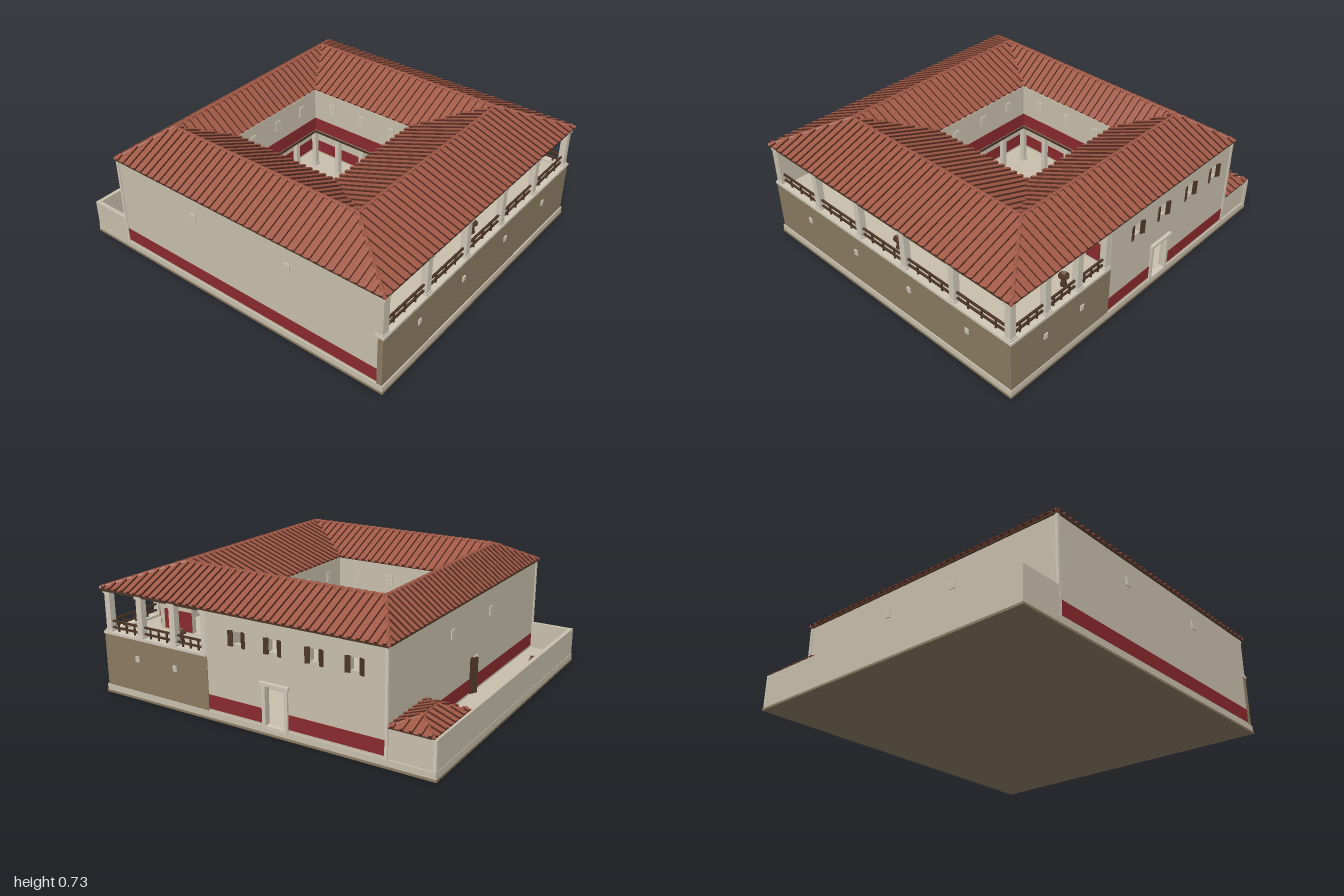
import * as THREE from 'three';
import { mergeGeometries } from 'three/addons/utils/BufferGeometryUtils.js';

const material = (name, color, side = THREE.FrontSide) => {
  const m = new THREE.MeshStandardMaterial({ color, side });
  m.name = name;
  return m;
};

export function createModel() {
  const cream = material('cream plaster', 0xc9bfad);
  const trim = material('pale trim', 0xd0c8b8);
  const tan = material('tan stone', 0x8b7b62);
  const red = material('red paint', 0x8a2a2d);
  const tile = material('roof tile', 0xa05845, THREE.DoubleSide);
  const tileDark = material('shaded tile', 0x5a2f25);
  const wood = material('dark wood', 0x4c3527);
  const water = material('water', 0x35707c);
  const clay = material('clay', 0x84634c, THREE.DoubleSide);

  const model = new THREE.Group();
  const mesh = (name, geo, mat, parent = model) => {
    const m = new THREE.Mesh(geo, mat);
    m.name = name;
    parent.add(m);
    return m;
  };
  // box from its minimum and maximum on each axis
  const box = (name, mat, x0, x1, y0, y1, z0, z1, parent) => {
    const g = new THREE.BoxGeometry(x1 - x0, y1 - y0, z1 - z0);
    g.translate((x0 + x1) / 2, (y0 + y1) / 2, (z0 + z1) / 2);
    return mesh(name, g, mat, parent);
  };
  const rect = (Type, x0, x1, y0, y1) => new Type([[x0, y0], [x1, y0], [x1, y1], [x0, y1]].map(p => new THREE.Vector2(...p)));
  const turned = (name, rot, parent = model) => {
    const g = new THREE.Group();
    g.name = name;
    g.rotation.y = rot;
    parent.add(g);
    return g;
  };
  // horizontal slab with the courtyard cut out
  const frame = (name, mat, x, z0, z1, y0, y1) => {
    const s = rect(THREE.Shape, -x, x, -z1, -z0);
    s.holes.push(rect(THREE.Path, -0.345, 0.345, -0.285, 0.415));
    const g = new THREE.ExtrudeGeometry(s, { depth: y1 - y0, bevelEnabled: false });
    g.rotateX(-Math.PI / 2).translate(0, y0, 0);
    mesh(name, g, mat);
  };
  // wall facing local +z with its face at dist; holes are [u0, u1, y0, y1]; the dado skips them
  const wall = (name, rot, u0, u1, y0, y1, dist, { holes = [], dado, mat = cream, slits = [], depth = 0.03 } = {}) => {
    const g = turned(name, rot);
    const s = rect(THREE.Shape, u0, u1, y0, y1);
    holes.forEach(h => s.holes.push(rect(THREE.Path, ...h)));
    const geo = new THREE.ExtrudeGeometry(s, { depth, bevelEnabled: false });
    mesh(name + 'Panel', geo.translate(0, 0, dist - depth), mat, g);
    if (dado) {
      let start = u0;
      const cuts = holes.filter(h => h[2] < dado[1] && h[3] > dado[0]).sort((a, b) => a[0] - b[0]);
      for (const c of [...cuts, [u1, u1]]) {
        box('redDado', red, start, c[0], ...dado, dist, dist + 0.002, g);
        start = c[1];
      }
    }
    for (const [u, y, w, h] of slits) {
      box('slitFrame', trim, u - w / 2, u + w / 2, y - h / 2, y + h / 2, dist, dist + 0.006, g);
      box('slitPane', cream, u - w / 4, u + w / 4, y - h / 3, y + h / 3, dist + 0.006, dist + 0.007, g);
    }
    return g;
  };
  const Q = Math.PI / 2;

  // ground, plinth and yard floor
  box('groundSlab', tan, -0.9, 0.9, 0, 0.012, -1, 1);
  box('plinth', cream, -0.897, 0.897, 0.012, 0.045, -0.997, 0.997);

  // outer walls
  const windowsU = [-0.088, 0.126, 0.362, 0.58];
  const door = [0.07, 0.19, 0.048, 0.26];
  const right = wall('rightWall', Q, -0.29, 0.745, 0.04, 0.58, 0.89, {
    dado: [0.058, 0.135], holes: [door, ...windowsU.map(u => [u - 0.026, u + 0.026, 0.435, 0.5])] });
  for (const u of windowsU) for (const s of [-1, 1]) {
    const shutter = box('shutter', wood, -0.013, 0.013, 0.424, 0.505, -0.004, 0.004, right);
    shutter.position.set(u + s * 0.038, 0, 0.897);
    shutter.rotation.y = -s * 0.4;
  }
  for (const u of [0.064, 0.196]) box('doorJamb', trim, u - 0.01, u + 0.01, 0.03, 0.265, 0.885, 0.9, right);
  box('doorLintel', trim, 0.045, 0.215, 0.262, 0.278, 0.885, 0.908, right);
  box('doorStep', trim, 0.055, 0.205, 0.03, 0.05, 0.87, 0.9, right);

  wall('leftWall', -Q, -0.745, 0.985, 0.04, 0.58, 0.89, {
    dado: [0.058, 0.135], slits: [[-0.19, 0.46, 0.035, 0.05], [0.43, 0.46, 0.035, 0.05]], depth: 0.045 });
  const back = wall('backWall', Math.PI, -0.89, 0.89, 0.04, 0.58, 0.745, {
    dado: [0.058, 0.135], holes: [[-0.01, 0.09, 0.048, 0.25]],
    slits: [[-0.24, 0.45, 0.035, 0.05], [0.23, 0.45, 0.035, 0.05]] });
  const leaf = box('backDoorLeaf', wood, 0, 0.05, 0.05, 0.25, -0.004, 0.004, back);
  leaf.position.set(-0.01, 0, 0.745);
  leaf.rotation.y = -0.5;
  for (const s of [-1, 1]) box('cornerPilaster', trim, s * 0.888 - 0.008, s * 0.888 + 0.008, 0.04, 0.58, -0.751, -0.735);

  // tan lower storey under the loggia
  wall('frontLowerWall', 0, -0.893, 0.893, 0.04, 0.335, 0.99, {
    mat: tan, slits: [-0.6, -0.21, 0.2, 0.61].map(x => [x, 0.235, 0.024, 0.032]) });
  wall('rightLowerWall', Q, -0.99, -0.285, 0.04, 0.335, 0.893, {
    mat: tan, slits: [-0.76, -0.5].map(u => [u, 0.23, 0.024, 0.032]) });
  frame('upperFloor', cream, 0.862, -0.715, 0.965, 0.305, 0.335);
  box('frontLedge', trim, -0.896, 0.896, 0.335, 0.349, 0.945, 0.994);
  box('sideLedge', trim, 0.85, 0.896, 0.335, 0.349, 0.29, 0.945);

  // walls behind the loggia
  wall('loggiaFrontWall', 0, -0.85, 0.67, 0.335, 0.58, 0.79, {
    dado: [0.345, 0.455], holes: [[-0.79, -0.67, 0.34, 0.525], [-0.005, 0.108, 0.34, 0.52]] });
  wall('loggiaSideWall', Q, -0.76, -0.29, 0.335, 0.58, 0.67, {
    dado: [0.345, 0.455], holes: [[-0.57, -0.47, 0.34, 0.52]] });
  wall('loggiaEndWall', 0, 0.64, 0.88, 0.335, 0.58, 0.29, { dado: [0.345, 0.455] });
  box('openDoorLeaf', trim, -0.008, 0.02, 0.345, 0.52, 0.7, 0.78);

  // columns with base and capital
  const column = (x, z, y0, y1, r) => {
    const g = turned('column', 0);
    g.position.set(x, 0, z);
    box('columnBase', trim, -r * 1.3, r * 1.3, y0, y0 + 0.014, -r * 1.3, r * 1.3, g);
    box('columnShaft', trim, -r, r, y0, y1, -r, r, g);
    box('columnCapital', trim, -r * 1.35, r * 1.35, y1 - 0.016, y1, -r * 1.35, r * 1.35, g);
  };
  const frontX = [-0.868, -0.523, -0.178, 0.163, 0.505, 0.865];
  const sideZ = [0.965, 0.737, 0.512, 0.305];
  frontX.forEach(x => column(x, 0.965, 0.345, 0.575, 0.018));
  sideZ.slice(1).forEach(z => column(0.868, z, 0.345, 0.575, 0.018));
  box('frontBeam', wood, -0.89, 0.89, 0.568, 0.582, 0.945, 0.988);
  box('sideBeam', wood, 0.848, 0.89, 0.568, 0.582, 0.29, 0.945);

  // loggia railing
  for (const y of [0.37, 0.405]) {
    box('frontRail', wood, -0.86, 0.86, y - 0.005, y + 0.005, 0.96, 0.97);
    box('sideRail', wood, 0.863, 0.873, y - 0.005, y + 0.005, 0.3, 0.96);
  }
  const posts = (list, place) => list.slice(1).forEach((b, i) => [0.25, 0.5, 0.75].forEach(t => place(list[i] + (b - list[i]) * t)));
  posts(frontX, x => box('railPost', wood, x - 0.004, x + 0.004, 0.347, 0.41, 0.961, 0.969));
  posts(sideZ, z => box('railPost', wood, 0.864, 0.872, 0.347, 0.41, z - 0.004, z + 0.004));

  // courtyard: upper walls, arcade and recessed ground-floor walls
  const sides = [[0, -0.34, 0.34, -0.41], [Math.PI, -0.34, 0.34, -0.28], [Q, -0.28, 0.41, -0.34], [-Q, -0.41, 0.28, -0.34]];
  for (const [rot, a, b, d] of sides) {
    const m = (a + b) / 2;
    const g = wall('courtyardUpperWall', rot, a - 0.03, b + 0.03, 0.3, 0.58, d, {
      dado: [0.31, 0.392], slits: [-0.21, 0, 0.21].map(u => [m + u, 0.495, 0.04, 0.06]) });
    box('courtyardBeam', wood, a, b, 0.29, 0.305, d - 0.03, d + 0.004, g);
    wall('porticoWall', rot, a - 0.14, b + 0.14, 0.04, 0.305, d - 0.13, { dado: [0.058, 0.135] });
    box('innerDado', red, a - 0.14, b + 0.14, 0.058, 0.135, d - 0.162, d - 0.16, g);
  }
  for (let i = 0; i < 4; i++) {
    const t = i / 4;
    column(-0.355 + 0.71 * t, -0.425, 0.045, 0.295, 0.014);
    column(0.355 - 0.71 * t, 0.295, 0.045, 0.295, 0.014);
    column(0.355, -0.425 + 0.72 * t, 0.045, 0.295, 0.014);
    column(-0.355, 0.295 - 0.72 * t, 0.045, 0.295, 0.014);
  }
  box('poolRim', trim, -0.172, 0.172, 0.045, 0.055, -0.212, 0.062);
  box('poolWater', water, -0.158, 0.158, 0.055, 0.058, -0.198, 0.048);

  // roof slope falling towards local +z, with raised tile rows and optional ridge caps
  const slope = (name, parent, rot, [a0, b0, zE, yE], [a1, b1, zR, yR], caps, step = 0.045) => {
    const g = turned(name, rot, parent);
    const P = [[a0, yE, zE], [b0, yE, zE], [b1, yR, zR], [a1, yR, zR]].map(p => new THREE.Vector3(...p));
    const plane = new THREE.BufferGeometry().setFromPoints([0, 1, 2, 0, 2, 3].map(i => P[i]));
    plane.computeVertexNormals();
    mesh('tilePlane', plane, tile, g);
    const angle = Math.atan2(yR - yE, zE - zR), full = Math.hypot(yR - yE, zE - zR);
    const rows = [], tops = [];
    const lo = Math.min(a0, a1), hi = Math.max(b0, b1), n = Math.round((hi - lo) / step);
    for (let i = 0; i < n; i++) {
      const u = lo + (hi - lo) * (i + 0.5) / n;
      let t0 = 0, t1 = 1;
      for (const [e, r, s] of [[a0, a1, 1], [b0, b1, -1]]) {
        const t = (u - e) / (r - e);
        if ((r - e) * s > 0) t1 = Math.min(t1, t); else t0 = Math.max(t0, t);
      }
      if (t1 - t0 < 0.04) continue;
      const m = (t0 + t1) / 2;
      const bar = (w, h, lift) => new THREE.BoxGeometry(w, h, full * (t1 - t0)).translate(0, lift, 0)
        .rotateX(angle).translate(u, yE + (yR - yE) * m, zE + (zR - zE) * m);
      rows.push(bar(0.016, 0.012, 0.004));
      tops.push(bar(0.0165, 0.002, 0.011));
    }
    mesh('tileRowSides', mergeGeometries(rows), tileDark, g);
    mesh('tileRowTops', mergeGeometries(tops), tile, g);
    if (caps) for (const [p, q] of [[P[1], P[2]], [P[2], P[3]]]) {
      mesh('ridgeCap', new THREE.TubeGeometry(new THREE.LineCurve3(p, q), 1, caps, 6), tile, g);
    }
  };

  // main roof: outer slopes, then slopes into the courtyard
  const eave = 0.588, top = 0.718;
  const roof = turned('mainRoof', 0);
  slope('frontSlope', roof, 0, [-0.9, 0.9, 0.995, eave], [-0.62, 0.62, 0.635, top], 0.01);
  slope('backSlope', roof, Math.PI, [-0.9, 0.9, 0.755, eave], [-0.62, 0.62, 0.58, top], 0.01);
  slope('rightSlope', roof, Q, [-0.995, 0.755, 0.9, eave], [-0.635, 0.58, 0.62, top], 0.01);
  slope('leftSlope', roof, -Q, [-0.755, 0.995, 0.9, eave], [-0.58, 0.635, 0.62, top], 0.01);
  slope('backInnerSlope', roof, 0, [-0.34, 0.34, -0.405, eave], [-0.62, 0.62, -0.58, top]);
  slope('frontInnerSlope', roof, Math.PI, [-0.34, 0.34, -0.275, eave], [-0.62, 0.62, -0.635, top]);
  slope('leftInnerSlope', roof, Q, [-0.275, 0.405, -0.335, eave], [-0.635, 0.58, -0.62, top]);
  slope('rightInnerSlope', roof, -Q, [-0.405, 0.275, -0.335, eave], [-0.58, 0.635, -0.62, top]);
  frame('eaveBoard', wood, 0.897, -0.752, 0.992, 0.577, 0.587);

  // back yard walls and corner shed
  box('yardBackWall', cream, -0.895, 0.895, 0.04, 0.2, -0.995, -0.972);
  box('yardSideWall', cream, -0.895, -0.872, 0.04, 0.2, -0.995, -0.745);
  box('yardWallPost', trim, 0.88, 0.897, 0.04, 0.2, -0.997, -0.98);
  box('shedBody', cream, 0.54, 0.888, 0.04, 0.2, -0.972, -0.745);
  const shed = turned('shedRoof', 0);
  shed.position.set(0.71, 0, -0.866);
  box('shedEave', wood, -0.183, 0.183, 0.197, 0.205, -0.116, 0.116, shed);
  for (const r of [0, Math.PI]) {
    slope('shedLongSlope', shed, r, [-0.185, 0.185, 0.118, 0.205], [-0.065, 0.065, 0, 0.248], 0.007);
    slope('shedEndSlope', shed, r + Q, [-0.118, 0.118, 0.185, 0.205], [-0.001, 0.001, 0.065, 0.248], 0.007);
  }

  // yard pot and loggia tables
  const profile = [[0, 0], [0.016, 0], [0.03, 0.03], [0.026, 0.05], [0.018, 0.058], [0.022, 0.064]];
  const pot = mesh('yardPot', new THREE.LatheGeometry(profile.map(p => new THREE.Vector2(...p)), 14), clay);
  pot.position.set(-0.555, 0.045, -0.887);
  for (const [x, z] of [[0.02, 0.887], [0.8, 0.53]]) {
    const t = turned('loggiaTable', 0);
    t.position.set(x, 0.335, z);
    mesh('tableTop', new THREE.CylinderGeometry(0.028, 0.028, 0.008, 12).translate(0, 0.06, 0), wood, t);
    mesh('tableLeg', new THREE.CylinderGeometry(0.008, 0.018, 0.06, 8).translate(0, 0.03, 0), wood, t);
    mesh('tableBowl', new THREE.CylinderGeometry(0.012, 0.007, 0.014, 8).translate(0, 0.071, 0), clay, t);
  }
  return model;
}
